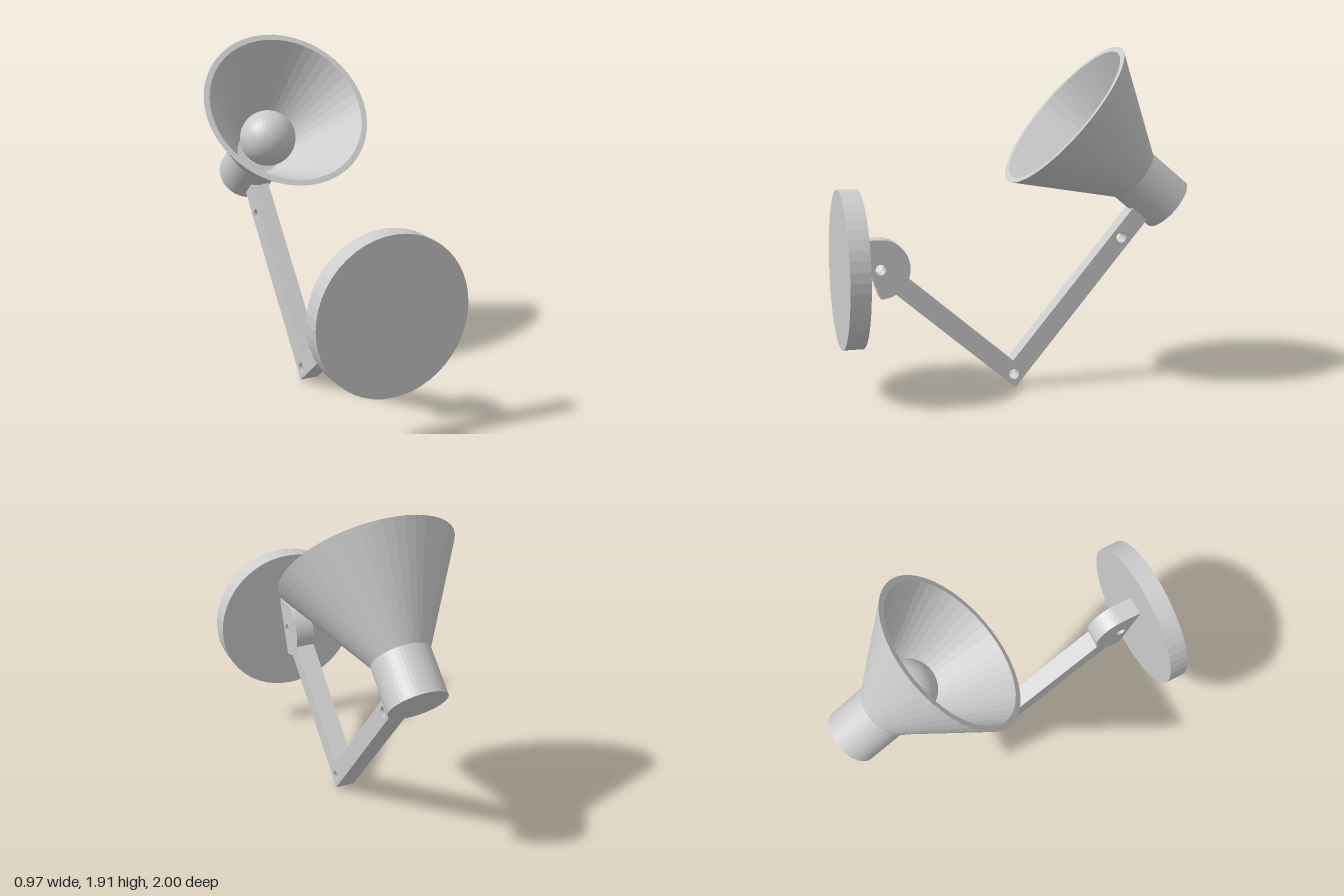
import * as THREE from 'three';

const SEG = 48;
const TILT = THREE.MathUtils.degToRad(40); // slope of the lower arm and the lamp axis
const material = new THREE.MeshStandardMaterial({ color: 0xcccccc, flatShading: true });

function addPart(parent, name, geometry) {
  const mesh = new THREE.Mesh(geometry, material);
  mesh.name = name;
  parent.add(mesh);
  return mesh;
}

// Bracket and elbow arm share one side outline, drawn as (z, y) and extruded across x
function armGeometry() {
  const width = 0.11, pivotZ = 0.78, pivotY = 0.712, pivotR = 0.163, wallZ = 0.9;
  const u = new THREE.Vector2(Math.cos(TILT), Math.sin(TILT)); // along lower arm
  const v = new THREE.Vector2(-u.y, u.x); // along upper arm
  const corner = new THREE.Vector2(0.025, 0.004);
  const at = (a, b) => corner.clone().addScaledVector(u, a).addScaledVector(v, b);

  const half = Math.asin(width / 2 / pivotR);
  const joint = Math.PI + TILT; // where the lower arm leaves the bracket
  const shape = new THREE.Shape();
  shape.moveTo(wallZ, pivotY - pivotR);
  shape.absarc(pivotZ, pivotY, pivotR, 1.5 * Math.PI, joint + half, true);
  for (const p of [at(0, 0), at(0, 1.24), at(width, 1.24), at(width, width)]) shape.lineTo(p.x, p.y);
  shape.absarc(pivotZ, pivotY, pivotR, joint - half, Math.PI / 2, true);
  shape.lineTo(wallZ, pivotY + pivotR);
  shape.closePath();

  // Bolt holes at the bracket, the elbow and near the lamp
  const holes = [new THREE.Vector2(pivotZ, pivotY), at(width / 2, width / 2), at(width / 2, 1.038)];
  for (const p of holes) {
    const hole = new THREE.Path();
    hole.absarc(p.x, p.y, 0.029, 0, Math.PI * 2, false);
    shape.holes.push(hole);
  }
  const geometry = new THREE.ExtrudeGeometry(shape, { depth: width, bevelEnabled: false, curveSegments: 24 });
  return geometry.translate(0, 0, -width / 2).rotateY(-Math.PI / 2);
}

export function createModel() {
  const model = new THREE.Group();
  model.name = 'wallLamp';

  // Round wall plate
  const plate = addPart(model, 'wallPlate', new THREE.CylinderGeometry(0.435, 0.435, 0.11, SEG));
  plate.rotation.x = Math.PI / 2;
  plate.position.set(0, 0.713, 0.945);

  addPart(model, 'bracketAndArm', armGeometry());

  // Lamp head: local y is the lamp axis, with the origin where socket meets shade
  const head = new THREE.Group();
  head.name = 'lampHead';
  head.position.set(0, 1.186, -0.686);
  head.rotation.x = Math.PI / 2 - TILT;
  model.add(head);

  const socket = addPart(head, 'socket', new THREE.CylinderGeometry(0.163, 0.163, 0.272, SEG));
  socket.position.y = -0.136;

  // Conical shade with a visible wall thickness
  const profile = [[0.163, 0], [0.486, 0.546], [0.452, 0.546], [0.13, 0]];
  addPart(head, 'shade', new THREE.LatheGeometry(profile.map(([r, y]) => new THREE.Vector2(r, y)), SEG));

  const bulb = addPart(head, 'bulb', new THREE.SphereGeometry(0.163, SEG, 24));
  bulb.position.y = 0.19;

  // Short neck holding the bulb in the socket
  const neck = addPart(head, 'bulbNeck', new THREE.CylinderGeometry(0.05, 0.05, 0.06, 24));
  neck.position.y = 0.02;

  return model;
}
